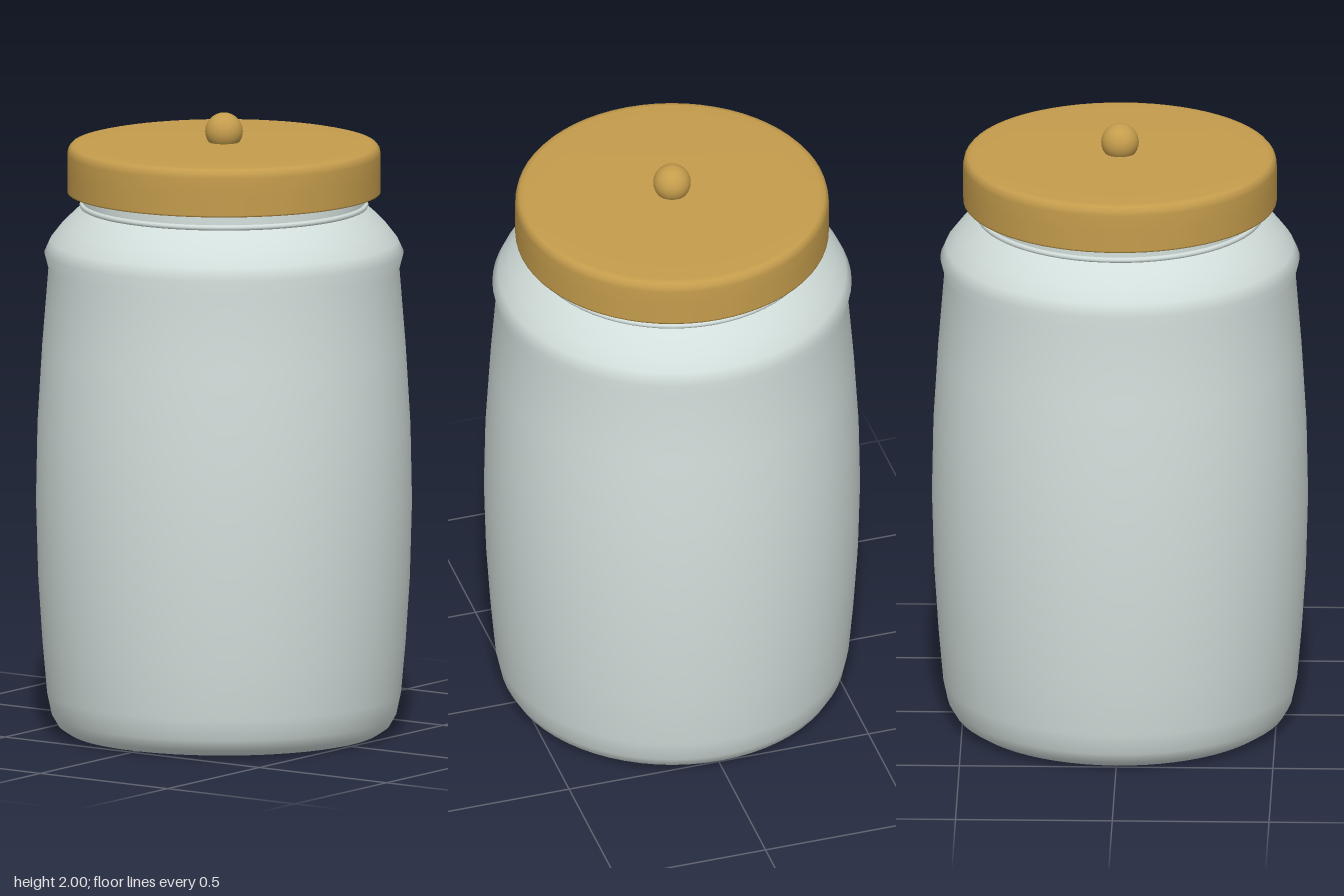
import * as THREE from 'three';

const SEGMENTS = 64;

// Turns [radius, height] pairs into a round body
function turned(name, points, material) {
  const profile = points.map(([r, y]) => new THREE.Vector2(r, y));
  const mesh = new THREE.Mesh(new THREE.LatheGeometry(profile, SEGMENTS), material);
  mesh.name = name;
  return mesh;
}

// Screw thread climbing around the neck
class ThreadCurve extends THREE.Curve {
  getPoint(t, target = new THREE.Vector3()) {
    const a = t * Math.PI * 4;
    return target.set(0.45 * Math.cos(a), 1.73 + 0.12 * t, -0.45 * Math.sin(a));
  }
}

export function createModel() {
  const glass = new THREE.MeshStandardMaterial({ color: 0xd2dedb, side: THREE.DoubleSide });
  glass.name = 'paleGlass';
  const gold = new THREE.MeshStandardMaterial({ color: 0xc49c4c, side: THREE.DoubleSide });
  gold.name = 'warmGold';

  const jar = new THREE.Group();
  jar.name = 'storageJar';

  // Bulging body with rounded base and shoulder
  jar.add(turned('jarBody', [
    [0, 0], [0.46, 0], [0.50, 0.005], [0.53, 0.025], [0.55, 0.06], [0.565, 0.13],
    [0.58, 0.30], [0.593, 0.50], [0.60, 0.75], [0.595, 1.00], [0.58, 1.25],
    [0.56, 1.50], [0.573, 1.55], [0.555, 1.59], [0.52, 1.635], [0.48, 1.675], [0.455, 1.695],
  ], glass));

  // Neck, closed under the lid
  jar.add(turned('neck', [[0.45, 1.69], [0.45, 1.86], [0.42, 1.86], [0.42, 1.70]], glass));

  // Bead at the foot of the neck
  const bead = new THREE.Mesh(new THREE.TorusGeometry(0.452, 0.009, 8, SEGMENTS), glass);
  bead.name = 'neckBead';
  bead.rotation.x = Math.PI / 2;
  bead.position.y = 1.703;
  jar.add(bead);

  const thread = new THREE.Mesh(new THREE.TubeGeometry(new ThreadCurve(), 128, 0.008, 6), glass);
  thread.name = 'screwThread';
  jar.add(thread);

  // Hollow lid with a rounded upper edge and slightly domed top
  jar.add(turned('lid', [
    [0.49, 1.86], [0.49, 1.745], [0.50, 1.745], [0.50, 1.75], [0.50, 1.81], [0.50, 1.868],
    [0.496, 1.885], [0.487, 1.896], [0.47, 1.90], [0.40, 1.902], [0.20, 1.905], [0, 1.906],
  ], gold));

  const knob = new THREE.Mesh(new THREE.SphereGeometry(0.06, 32, 24), gold);
  knob.name = 'lidKnob';
  knob.position.y = 1.94;
  jar.add(knob);

  return jar;
}
